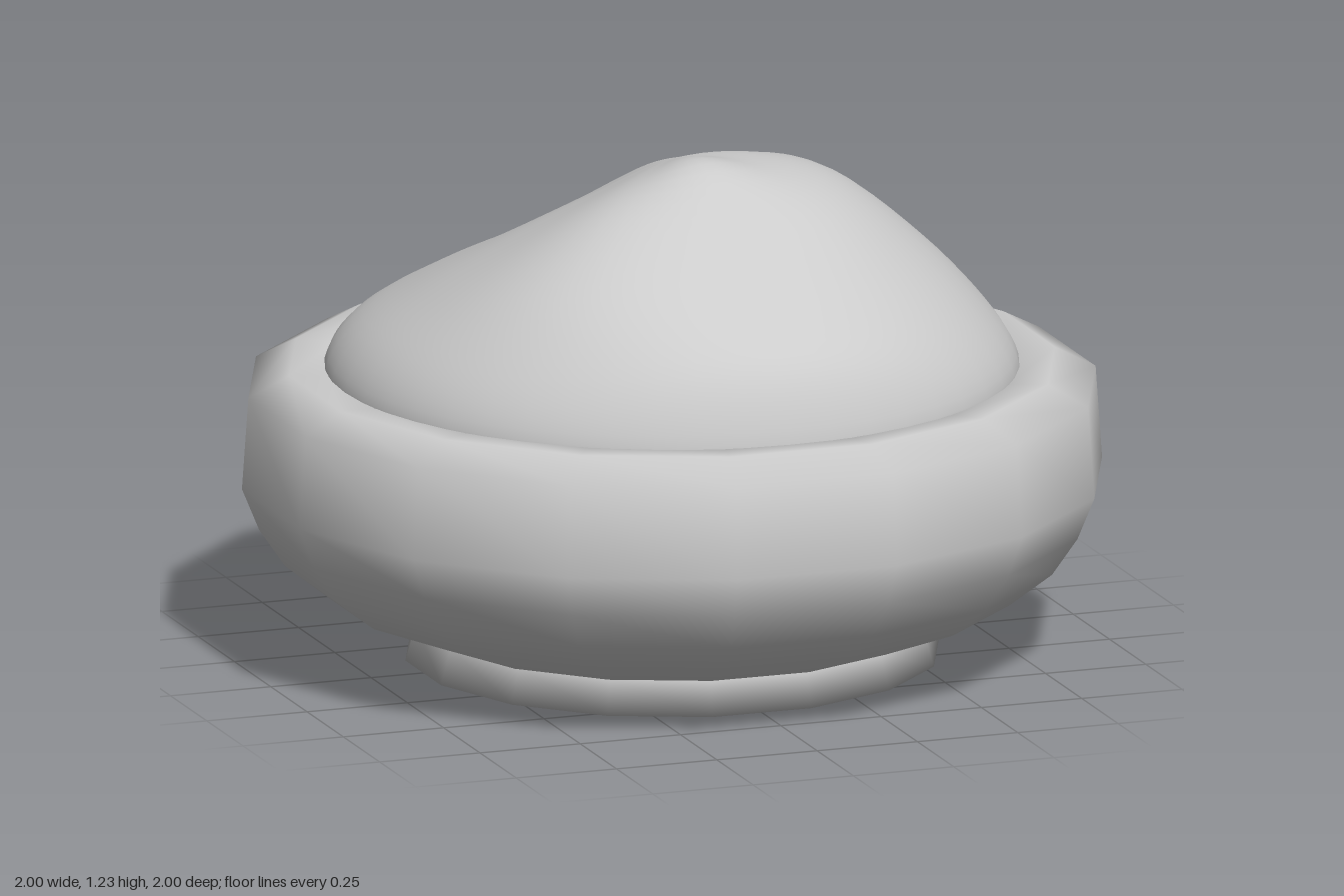
import * as THREE from 'three';
import { mergeVertices } from 'three/addons/utils/BufferGeometryUtils.js';

const SIDES = 16;
const grey = new THREE.MeshStandardMaterial({ color: 0xcccccc, side: THREE.DoubleSide });

// Sixteen-sided turned part; profile radii are measured to the flats, which face the axes
function turned(name, profile) {
  const k = 1 / Math.cos(Math.PI / SIDES);
  const points = profile.map(([r, y]) => new THREE.Vector2(r * k, y));
  const mesh = new THREE.Mesh(new THREE.LatheGeometry(points, SIDES, Math.PI / SIDES), grey);
  mesh.name = name;
  return mesh;
}

// Lumpy mound: heights in eight directions (+x, then round through +z), smoothed both ways
function createHeap() {
  const rings = [
    { r: 0.2, h: [1.19, 1.205, 1.225, 1.18, 1.12, 1.09, 1.12, 1.15] },
    { r: 0.4, h: [1.13, 1.13, 1.11, 1.11, 1.03, 0.98, 0.99, 1.09] },
    { r: 0.6, h: [0.97, 0.97, 0.98, 0.99, 0.92, 0.88, 0.9, 0.89] },
    { r: 0.75, h: [0.81, 0.82, 0.86, 0.83, 0.81, 0.79, 0.8, 0.77] },
    { r: 0.815, h: Array(8).fill(0.7) },
    { r: 0.8, h: Array(8).fill(0.6) },
  ];
  const curves = rings.map(({ r, h }) => new THREE.CatmullRomCurve3(
    h.map((y, i) => new THREE.Vector3(r, y, i)), true, 'catmullrom', 0.5));

  // Point on a ring, t being the fraction of a turn
  const ringPoint = (i, t) => new THREE.Vector3(
    rings[i].r * Math.cos(t * Math.PI * 2), curves[i].getPoint(t % 1).y, rings[i].r * Math.sin(t * Math.PI * 2));

  const around = 48, out = 30, positions = [], index = [];
  for (let j = 0; j <= around; j++) {
    const t = (j % around) / around;
    // Each spoke begins on the far side of the centre, so the crown stays smooth
    const spoke = new THREE.CatmullRomCurve3([
      ringPoint(0, t + 0.5), new THREE.Vector3(0, 1.19, 0), ...rings.map((_, i) => ringPoint(i, t)),
    ], false, 'catmullrom', 0.5);
    const spans = rings.length;
    for (let i = 0; i <= out; i++) {
      positions.push(...spoke.getPoint((1 + spans * i / out) / (1 + spans)).toArray());
    }
  }
  for (let j = 0; j < around; j++) {
    for (let i = 0; i < out; i++) {
      const p = j * (out + 1) + i, q = p + out + 1;
      if (i > 0) index.push(p, q, p + 1);
      index.push(q, q + 1, p + 1);
    }
  }
  let geometry = new THREE.BufferGeometry();
  geometry.setAttribute('position', new THREE.Float32BufferAttribute(positions, 3));
  geometry.setIndex(index);
  geometry = mergeVertices(geometry);
  geometry.computeVertexNormals();
  const mesh = new THREE.Mesh(geometry, grey);
  mesh.name = 'heap';
  return mesh;
}

export function createModel() {
  const model = new THREE.Group();
  model.name = 'filledBowl';
  model.add(
    // Closed base, shaded smoothly into its tapered side
    turned('foot', [[0, 0], [0.62, 0], [0.595, 0.085]]),
    // Rounded wall, rim and a little of the inside
    turned('bowl', [
      [0.59, 0.08], [0.61, 0.085], [0.8, 0.16], [0.9, 0.24], [0.96, 0.33], [1, 0.43],
      [0.985, 0.65], [0.89, 0.7], [0.8, 0.695], [0.72, 0.62],
    ]),
    createHeap(),
  );
  return model;
}
